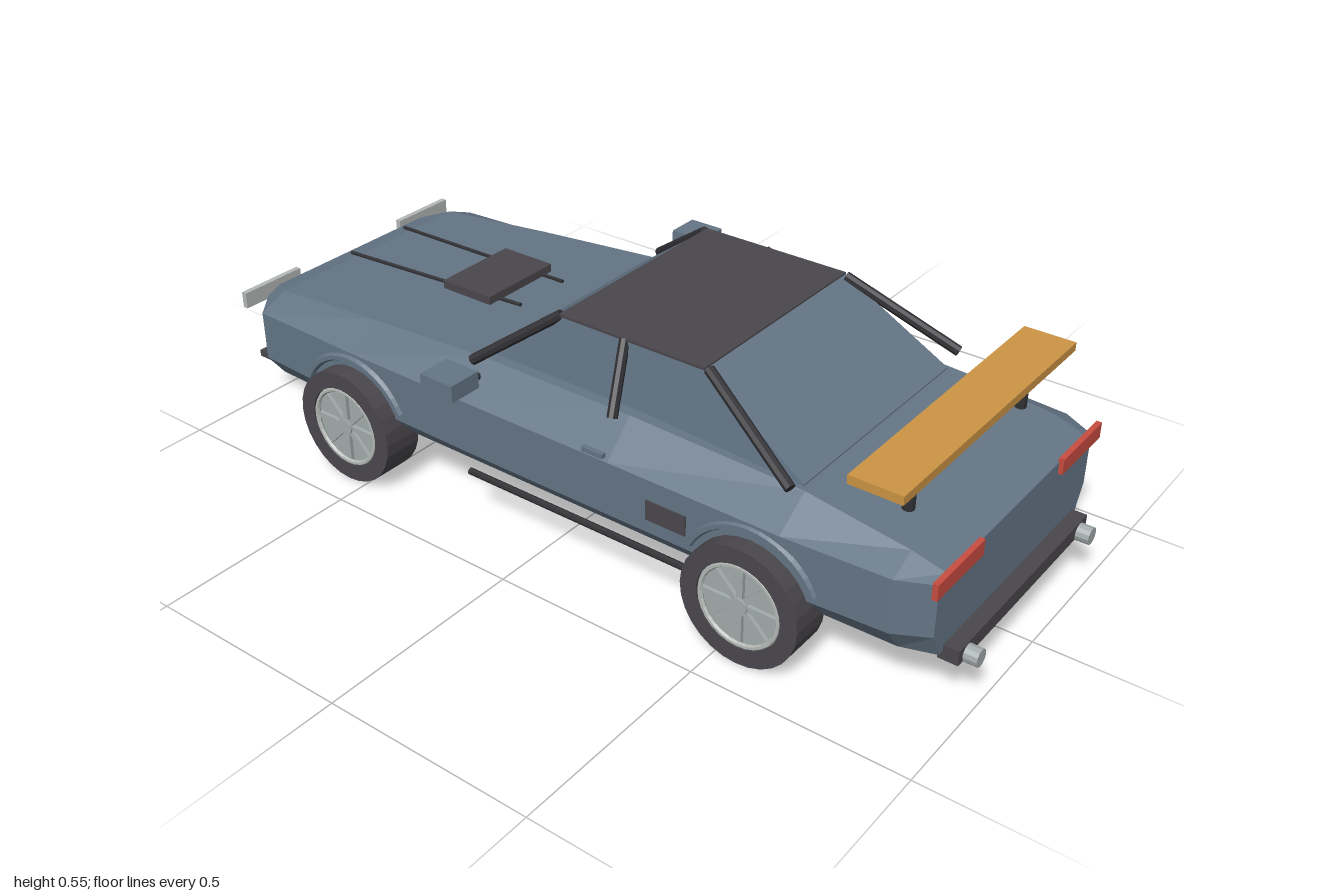
import * as THREE from 'three';

const mat = (name, color, extra = {}) => {
  const m = new THREE.MeshStandardMaterial({ color, flatShading: true, ...extra });
  m.name = name;
  return m;
};

// Closed loft through rings ordered from +z to -z, each counterclockwise seen from +z
function loft(rings) {
  const pos = [];
  const n = rings[0].length;
  const tri = (...p) => p.forEach(v => pos.push(...v));
  for (let s = 0; s < rings.length - 1; s++) {
    const a = rings[s], b = rings[s + 1];
    for (let i = 0; i < n; i++) {
      const j = (i + 1) % n;
      tri(a[i], b[i], b[j]);
      tri(a[i], b[j], a[j]);
    }
  }
  const first = rings[0], last = rings[rings.length - 1];
  for (let i = 1; i < n - 1; i++) {
    tri(first[0], first[i], first[i + 1]);
    tri(last[0], last[i + 1], last[i]);
  }
  const g = new THREE.BufferGeometry();
  g.setAttribute('position', new THREE.Float32BufferAttribute(pos, 3));
  g.computeVertexNormals();
  return g;
}

// Mirrored ring from right-hand points listed bottom to top
const ring = (z, half) => [
  ...half.map(([x, y]) => [x, y, z]),
  ...half.slice().reverse().map(([x, y]) => [-x, y, z]),
];

export function createModel() {
  const car = new THREE.Group();
  car.name = 'car';
  const paint = mat('blue grey paint', 0x647585);
  const dark = mat('dark trim', 0x4a474c);
  const black = mat('black tube', 0x303034);
  const silver = mat('silver metal', 0xa2abab);
  const lamp = mat('lamp glass', 0xb4b9b6);
  const red = mat('red lamp', 0xc84c40);
  const orange = mat('orange wing', 0xcc9444);

  const add = (name, geo, material, parent = car) => {
    const m = new THREE.Mesh(geo, material);
    m.name = name;
    parent.add(m);
    return m;
  };
  // Box given by its extents
  const box = (name, material, [x0, x1], [y0, y1], [z0, z1]) => {
    const m = add(name, new THREE.BoxGeometry(x1 - x0, y1 - y0, z1 - z0), material);
    m.position.set((x0 + x1) / 2, (y0 + y1) / 2, (z0 + z1) / 2);
    return m;
  };
  // Rod between two points
  const rod = (name, material, a, b, r, sides = 8) => {
    const p = new THREE.Vector3(...a), q = new THREE.Vector3(...b);
    const m = add(name, new THREE.CylinderGeometry(r, r, p.distanceTo(q), sides), material);
    m.position.copy(p).lerp(q, 0.5);
    m.quaternion.setFromUnitVectors(new THREE.Vector3(0, 1, 0), q.sub(p).normalize());
    return m;
  };

  // Body hull: z, half width, sill half width, deck half width, shoulder y, deck y
  const stations = [
    [0.935, 0.33, 0.30, 0.30, 0.312, 0.322],
    [0.86, 0.37, 0.325, 0.305, 0.315, 0.345],
    [0.62, 0.385, 0.33, 0.30, 0.317, 0.376],
    [0.2, 0.385, 0.33, 0.31, 0.318, 0.396],
    [-0.2, 0.385, 0.33, 0.31, 0.318, 0.396],
    [-0.55, 0.38, 0.33, 0.30, 0.316, 0.37],
    [-0.87, 0.365, 0.32, 0.29, 0.312, 0.342],
    [-0.94, 0.285, 0.27, 0.25, 0.305, 0.32],
  ];
  add('body', loft(stations.map(([z, w, b, t, sy, ty]) =>
    ring(z, [[b, 0.13], [w, 0.19], [w, sy], [t, ty]]))), paint);

  // Cabin with sloped front and rear windows
  const cabin = [[0.61, 0.288, 0.38], [0.355, 0.265, 0.538], [-0.02, 0.265, 0.538], [-0.21, 0.28, 0.397]];
  add('cabin', loft(cabin.map(([z, t, y]) => ring(z, [[0.288, 0.362], [t, y]]))), paint);
  box('roof', dark, [-0.267, 0.267], [0.536, 0.542], [-0.02, 0.355]);

  // Bumpers, grille, hood scoop and hood rails
  box('rearBumper', dark, [-0.285, 0.285], [0.11, 0.145], [0.925, 0.97]);
  box('frontSplitter', dark, [-0.285, 0.285], [0.115, 0.132], [-1, -0.93]);
  box('frontBumper', dark, [-0.28, 0.28], [0.13, 0.175], [-0.955, -0.93]);
  box('grille', dark, [-0.25, 0.25], [0.2, 0.295], [-0.952, -0.93]);
  box('hoodScoop', dark, [-0.11, 0.11], [0.388, 0.408], [-0.51, -0.365]);

  for (const s of [-1, 1]) {
    const span = (a, b) => (s > 0 ? [a, b] : [-b, -a]);
    // Lamps
    box('headlight', lamp, span(0.175, 0.35), [0.295, 0.335], [-0.957, -0.943]);
    box('tailLight', red, span(0.172, 0.355), [0.295, 0.332], [0.933, 0.945]);
    // Roof pillars
    rod('frontPillar', black, [s * 0.338, 0.398, -0.21], [s * 0.258, 0.537, -0.02], 0.012);
    rod('middlePillar', black, [s * 0.34, 0.395, 0.178], [s * 0.26, 0.537, 0.15], 0.012);
    rod('rearPillar', black, [s * 0.338, 0.398, 0.61], [s * 0.258, 0.537, 0.36], 0.012);
    // Mirror
    rod('mirrorArm', black, [s * 0.36, 0.38, -0.175], [s * 0.412, 0.398, -0.175], 0.009);
    box('mirror', paint, span(0.405, 0.487), [0.388, 0.428], [-0.22, -0.13]);
    // Side details
    box('sideVent', dark, span(0.375, 0.389), [0.223, 0.27], [0.3, 0.4]);
    box('doorHandle', paint, span(0.384, 0.396), [0.33, 0.341], [0.14, 0.195]);
    rod('sidePipe', black, [s * 0.365, 0.125, 0.42], [s * 0.365, 0.125, -0.21], 0.008);
    rod('hoodRail', black, [s * 0.075, 0.395, -0.3], [s * 0.092, 0.377, -0.84], 0.005, 6);
    // Tail pipe and wing support
    rod('tailPipe', silver, [s * 0.25, 0.122, 0.93], [s * 0.25, 0.122, 1], 0.02, 12);
    rod('wingSupport', black, [s * 0.235, 0.38, 0.81], [s * 0.235, 0.477, 0.81], 0.013, 10);

    for (const z of [0.555, -0.55]) {
      // Arch lip over the wheel
      const arc = new THREE.TorusGeometry(0.162, 0.01, 6, 18, Math.PI * 0.72);
      arc.rotateZ(Math.PI * 0.14);
      arc.rotateY(Math.PI / 2);
      add('wheelArch', arc, paint).position.set(s * 0.383, 0.14, z);

      // Wheel, built with its outer face toward +y and then turned sideways
      const wheel = new THREE.Group();
      wheel.name = 'wheel';
      const profile = [[0.1, -0.05], [0.14, -0.05], [0.14, 0.05], [0.1, 0.05], [0.1, -0.05]];
      add('tyre', new THREE.LatheGeometry(profile.map(p => new THREE.Vector2(...p)), 28), dark, wheel);
      add('rimDisc', new THREE.CylinderGeometry(0.101, 0.101, 0.07, 28), silver, wheel);
      const lip = add('rimLip', new THREE.TorusGeometry(0.094, 0.006, 6, 28), lamp, wheel);
      lip.rotation.x = Math.PI / 2;
      lip.position.y = 0.044;
      add('hub', new THREE.CylinderGeometry(0.02, 0.02, 0.096, 12), silver, wheel);
      for (let i = 0; i < 8; i++) {
        const a = i * Math.PI / 4;
        const spoke = add('spoke', new THREE.BoxGeometry(0.08, 0.012, 0.014), silver, wheel);
        spoke.position.set(Math.cos(a) * 0.053, 0.038, -Math.sin(a) * 0.053);
        spoke.rotation.y = a;
      }
      wheel.rotation.z = -s * Math.PI / 2;
      wheel.position.set(s * 0.374, 0.14, z);
      car.add(wheel);
    }
  }

  // Rear wing
  box('rearWing', orange, [-0.36, 0.36], [0.475, 0.495], [0.743, 0.862]);
  return car;
}
